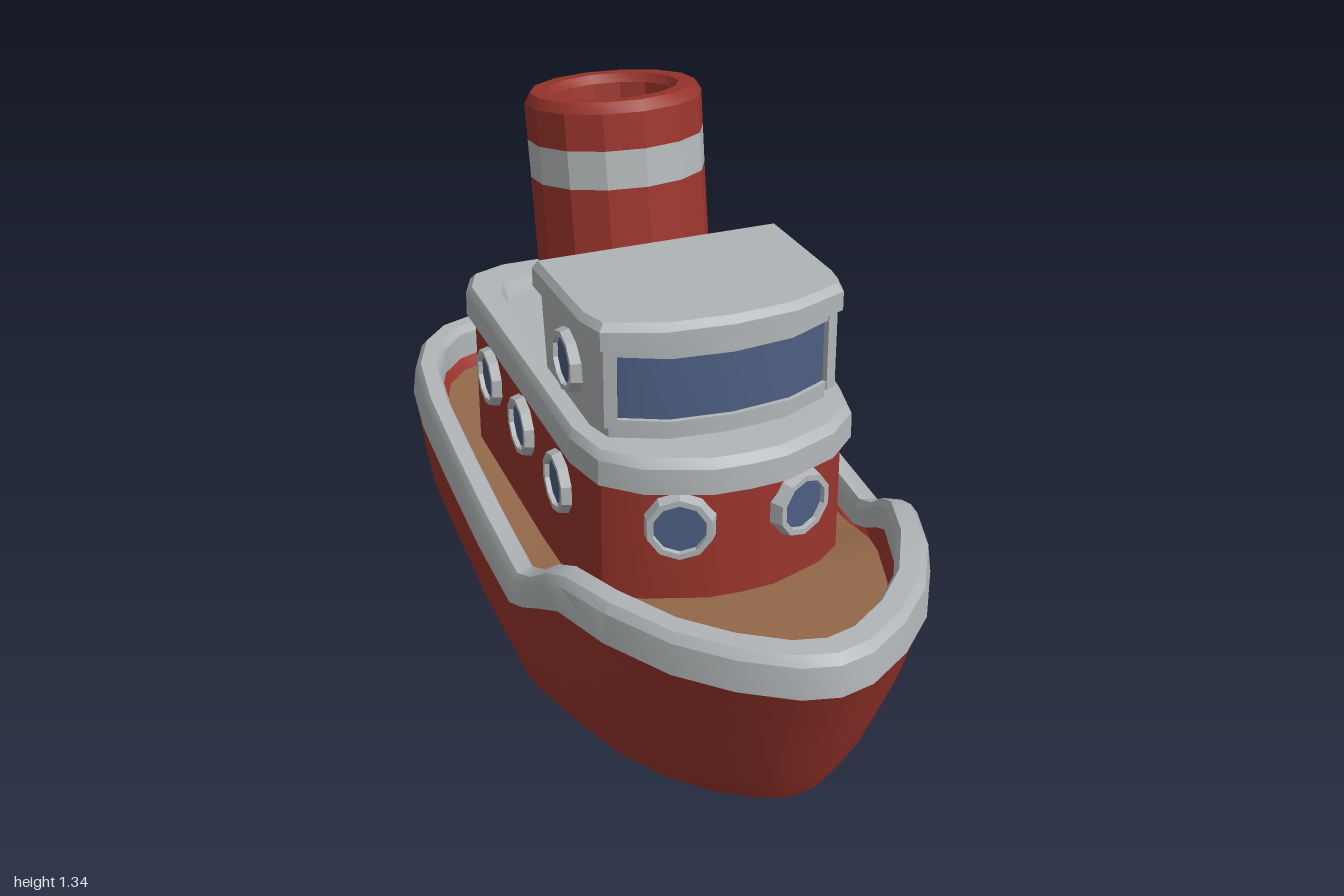
import * as THREE from 'three';
import { toCreasedNormals } from 'three/addons/utils/BufferGeometryUtils.js';

const material = (name, color) => {
  const m = new THREE.MeshStandardMaterial({ color });
  m.name = name;
  return m;
};

// Piecewise linear height along z
const heightAlong = table => z => {
  if (z <= table[0][0]) return table[0][1];
  for (let i = 1; i < table.length; i++) {
    const [z0, y0] = table[i - 1], [z1, y1] = table[i];
    if (z <= z1) return y0 + (y1 - y0) * (z - z0) / (z1 - z0);
  }
  return table[table.length - 1][1];
};

// Mirrors a half outline [x, z] (back to front) into a closed ring at height y
function ring(half, y, sx = 1, front = 1, back = 1) {
  const loop = [...half, ...half.slice(1, -1).reverse().map(([x, z]) => [-x, z])];
  return loop.map(([x, z]) => [x * sx, typeof y === 'function' ? y(z) : y, z * (z > 0 ? front : back)]);
}

// Skins a list of rings, with optional caps on the first and last
function loft(rings, capFirst = false, capLast = false) {
  const n = rings[0].length, pos = rings.flat(2), index = [];
  for (let r = 0; r < rings.length - 1; r++) {
    for (let i = 0; i < n; i++) {
      const j = (i + 1) % n, a = r * n, b = a + n;
      index.push(a + i, b + i, b + j, a + i, b + j, a + j);
    }
  }
  // Caps are strips across the mirrored outline
  const cap = (r, up) => {
    const at = i => r * n + (i % n);
    for (let i = 0; i < n / 2; i++) {
      const a = at(i), b = at(i + 1), c = at(n - i - 1), d = at(n - i);
      const quad = [a, b, c, a, c, d];
      index.push(...(up ? quad.reverse() : quad));
    }
  };
  if (capFirst) cap(0, false);
  if (capLast) cap(rings.length - 1, true);
  const g = new THREE.BufferGeometry();
  g.setAttribute('position', new THREE.Float32BufferAttribute(pos, 3));
  g.setIndex(index);
  return toCreasedNormals(g, 0.5);
}

const lathe = (points, sides) =>
  toCreasedNormals(new THREE.LatheGeometry(points.map(p => new THREE.Vector2(...p)), sides), 0.4);

export function createModel() {
  const red = material('red paint', 0x9a352c);
  const maroon = material('dark maroon', 0x41090a);
  const white = material('pale grey paint', 0xb2b6b8);
  const wood = material('deck wood', 0x95694a);
  const glass = material('blue glass', 0x4c5f82);
  const model = new THREE.Group();
  model.name = 'tugboat';
  const add = (name, geometry, mat, parent = model) => {
    const mesh = new THREE.Mesh(geometry, mat);
    mesh.name = name;
    parent.add(mesh);
    return mesh;
  };

  // Hull with stepped sheer and dark bottom
  const plan = [[0, -1], [0.2, -0.995], [0.3, -0.96], [0.37, -0.89], [0.42, -0.77], [0.445, -0.58],
    [0.458, -0.3], [0.468, 0], [0.468, 0.25], [0.46, 0.33], [0.448, 0.41], [0.43, 0.49],
    [0.38, 0.64], [0.29, 0.8], [0.19, 0.905], [0.08, 0.98], [0, 1]];
  const railTop = heightAlong([[-1, 0.455], [0.1, 0.43], [0.25, 0.42], [0.33, 0.455], [0.45, 0.54], [0.55, 0.56], [1, 0.578]]);
  const railBase = heightAlong([[-1, 0.365], [0.25, 0.35], [0.33, 0.385], [0.48, 0.47], [1, 0.485]]);
  const railEdge = z => railTop(z) - 0.02;
  const hullLevels = [[0, 0.52, 0.52, 0.68], [0.05, 0.68, 0.68, 0.8], [0.15, 0.81, 0.79, 0.88],
    [0.28, 0.89, 0.825, 0.915], [0.55, 0.965, 0.885, 0.95], [1, 1, 0.99, 0.99]];
  const hullRings = hullLevels.map(([f, ...s]) => ring(plan, z => railBase(z) * f, ...s));
  add('hullBottom', loft(hullRings.slice(0, 3), true), maroon);
  add('hull', loft(hullRings.slice(2)), red);

  // Rail, inner bulwark and deck rising towards the bow
  const inner = [0.85, 0.905, 0.94];
  add('rail', loft([
    ring(plan, railBase, 1, 0.99, 0.99), ring(plan, railBase, 1.004, 1, 1), ring(plan, railEdge, 0.985, 0.993, 0.995),
    ring(plan, railTop, 0.955, 0.975, 0.98), ring(plan, railTop, 0.87, 0.92, 0.95),
    ring(plan, railEdge, ...inner), ring(plan, railBase, ...inner),
  ]), white);
  const deckHeight = heightAlong([[-1, 0.335], [0.2, 0.34], [0.45, 0.41], [1, 0.44]]);
  const deckRing = ring(plan, deckHeight, 0.825, 0.893, 0.925);
  add('bulwark', loft([ring(plan, railBase, ...inner), deckRing]), red);
  add('deck', loft([deckRing], false, true), wood);

  // Deckhouse and its rimmed roof
  const house = [[0, -0.62], [0.2, -0.62], [0.28, -0.59], [0.31, -0.52], [0.31, 0.25],
    [0.285, 0.36], [0.21, 0.43], [0.08, 0.48], [0, 0.485]];
  add('deckhouse', loft([ring(house, 0.32), ring(house, 0.72)]), red);
  const tilt = y => z => y + 0.02 * z;
  add('deckhouseRoof', loft([
    ring(house, tilt(0.69), 1), ring(house, tilt(0.69), 1.05, 1.07, 1.05), ring(house, tilt(0.75), 1.045, 1.065, 1.05),
    ring(house, tilt(0.77), 1.01, 1.03, 1.02), ring(house, tilt(0.77), 0.83, 0.82, 0.89),
    ring(house, tilt(0.735), 0.8, 0.78, 0.87),
  ], false, true), white);

  // Wheelhouse with overhanging sloped roof
  const cabin = [[0, -0.04], [0.28, -0.04], [0.28, 0.26], [0.26, 0.33], [0.14, 0.385], [0, 0.4]];
  add('wheelhouse', loft([ring(cabin, 0.72, 0.97), ring(cabin, 1.01, 1.02)]), white);
  const roof = [[0, -0.05], [0.3, -0.05], [0.3, 0.28], [0.28, 0.355], [0.15, 0.41], [0, 0.425]];
  const slope = y => z => y + 0.06 * z;
  add('wheelhouseRoof', loft([
    ring(roof, slope(0.98)), ring(roof, slope(1.025)), ring(roof, slope(1.042), 0.96, 0.97, 0.9),
  ], true, true), white);

  // Curved windscreen and frame
  const curved = (w, out) => [[0, 0.3], [w, 0.3], [w, 0.385 - (w - 0.14) * 0.46 + out], [0.14, 0.385 + out], [0, 0.4 + out]];
  const slab = (name, w, out, y0, y1, mat) =>
    add(name, loft([ring(curved(w, out), y0), ring(curved(w, out), y1)], true, true), mat);
  slab('windscreen', 0.24, 0.009, 0.83, 0.985, glass);
  slab('windscreenSill', 0.255, 0.02, 0.812, 0.832, white);
  slab('windscreenHead', 0.255, 0.02, 0.983, 1.002, white);
  for (const s of [-1, 1]) {
    const post = add('windscreenPost', new THREE.BoxGeometry(0.028, 0.19, 0.04), white);
    post.position.set(s * 0.25, 0.907, 0.335);
    post.rotation.y = s * 0.43;
  }

  // Portholes: raised rim and glass facing outwards
  const rim = lathe([[0.078, -0.01], [0.07, 0.023], [0.057, 0.023], [0.054, 0]], 10).rotateX(Math.PI / 2);
  const pane = new THREE.CircleGeometry(0.058, 10);
  const porthole = (x, y, z, turn, size = 1) => {
    const g = new THREE.Group();
    g.name = 'porthole';
    add('portholeRim', rim, white, g);
    add('portholeGlass', pane, glass, g).position.z = 0.012;
    g.position.set(x, y, z);
    g.rotation.y = turn;
    g.scale.set(size, size, 1);
    model.add(g);
  };
  for (const s of [-1, 1]) {
    for (const z of [0.16, -0.115, -0.375]) porthole(s * 0.31, 0.585, z, s * Math.PI / 2);
    porthole(s * 0.282, 0.89, 0.16, s * Math.PI / 2);
    porthole(s * 0.14, 0.605, 0.46, s * 0.367, 1.07);
  }
  for (const x of [0.083, -0.045]) porthole(x, 0.585, -0.622, Math.PI, 0.95);

  // Raked hollow funnel with a pale band and a dark flue
  const funnel = new THREE.Group();
  funnel.name = 'funnel';
  add('funnelBase', lathe([[0.205, 0], [0.207, 0.42]], 14), red, funnel);
  add('funnelBand', lathe([[0.207, 0.42], [0.208, 0.51]], 14), white, funnel);
  add('funnelTop', lathe([[0.208, 0.51], [0.209, 0.595], [0.195, 0.62], [0.155, 0.62],
    [0.143, 0.6], [0.14, 0.5]], 14), red, funnel);
  add('funnelFlue', lathe([[0.14, 0.5], [0.135, 0.35], [0, 0.35]], 14), maroon, funnel);
  funnel.position.set(0, 0.7, -0.24);
  funnel.rotation.x = -0.172;
  model.add(funnel);

  return model;
}
